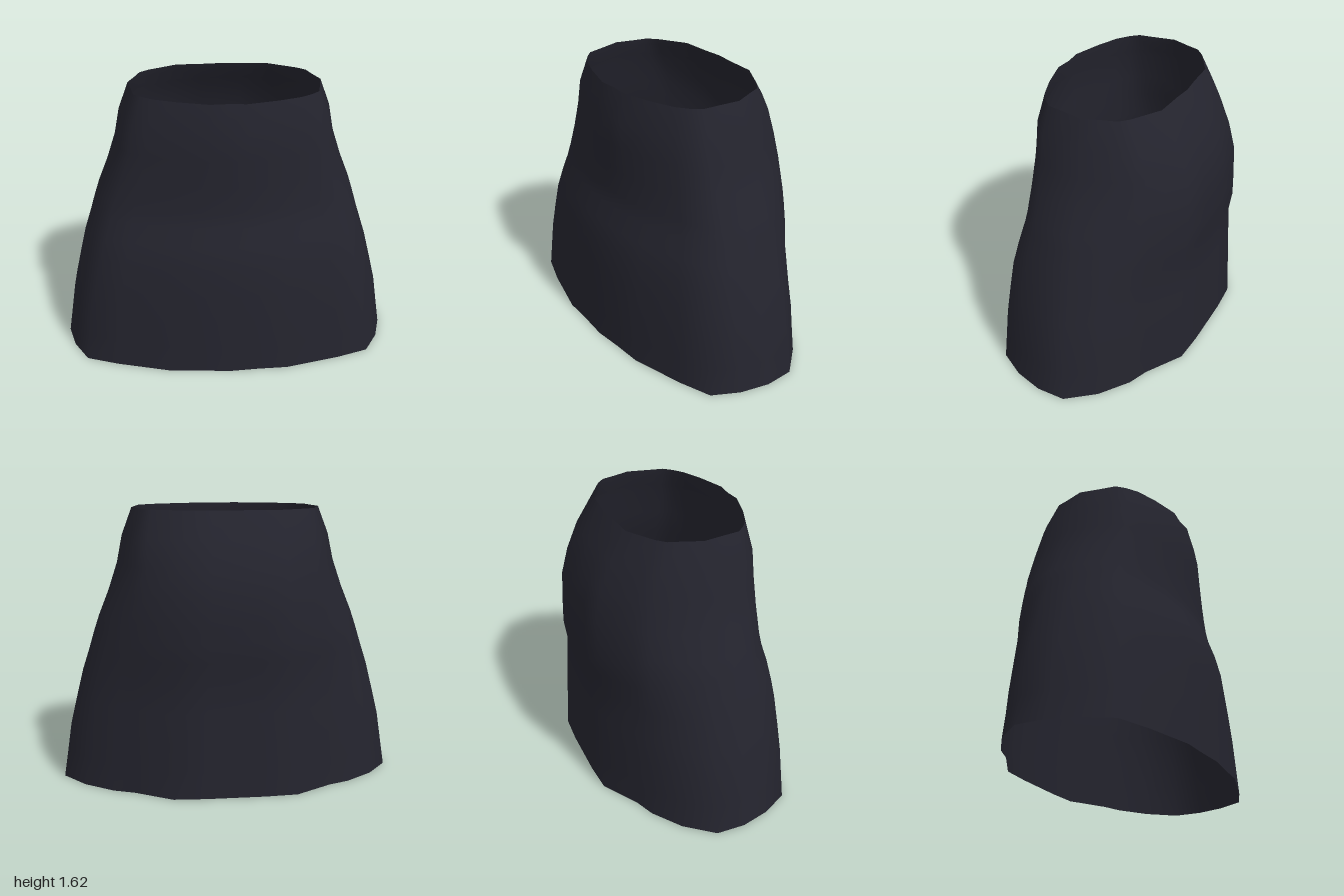
import * as THREE from 'three';

// Half outlines from centre front, round the left side, to centre back (x, z as fractions)
const HEM = [[0, 1], [.17, .975], [.35, .96], [.67, .81], [.86, .69], [.95, .42], [1, .12], [1, -.18],
  [.87, -.46], [.7, -.67], [.58, -.75], [.36, -.98], [.17, -1], [0, -1]];
const WAIST = [[0, .98], [.18, 1], [.5, .87], [.73, .74], [.85, .62], [.93, .5], [.96, .25], [1, -.05],
  [.93, -.35], [.89, -.55], [.8, -.68], [.5, -.95], [.2, -.97], [0, -1]];

// Height, half width, front depth, back depth
const LEVELS = [
  [.008, 1, .573, .573], [.17, .975, .565, .566], [.34, .95, .557, .56], [.5, .912, .547, .553],
  [.67, .87, .534, .546], [.8, .828, .505, .569], [.91, .795, .468, .57], [1, .765, .452, .57],
  [1.15, .705, .449, .569], [1.31, .652, .447, .532], [1.47, .62, .444, .464], [1.63, .56, .405, .368],
];

// Full ring at one level, blending from the hem outline to the waist outline
function ring([y, w, front, back], inset = 0) {
  const t = Math.pow(y / 1.63, 1.5);
  const half = HEM.map(([hx, hz], i) => {
    const x = THREE.MathUtils.lerp(hx, WAIST[i][0], t);
    const z = THREE.MathUtils.lerp(hz, WAIST[i][1], t);
    return [x * (w - inset), y, z * ((z > 0 ? front : back) - inset)];
  });
  const mirrored = half.slice(1, -1).reverse().map(([x, py, z]) => [-x, py, z]);
  return [...half, ...mirrored];
}

// Smooth open tube through a stack of rings
function loft(rings) {
  const n = rings[0].length;
  const index = [];
  for (let r = 0; r < rings.length - 1; r++) {
    for (let i = 0; i < n; i++) {
      const a = r * n + i, b = r * n + (i + 1) % n;
      index.push(a, b, b + n, a, b + n, a + n);
    }
  }
  const geometry = new THREE.BufferGeometry();
  geometry.setAttribute('position', new THREE.Float32BufferAttribute(rings.flat(2), 3));
  geometry.setIndex(index);
  geometry.computeVertexNormals();
  return geometry;
}

export function createModel() {
  const group = new THREE.Group();
  group.name = 'skirt';
  const fabric = new THREE.MeshStandardMaterial({ color: 0x24242e, side: THREE.DoubleSide });
  fabric.name = 'dark fabric';

  // Outer shell, open at the waist and hem
  const shell = new THREE.Mesh(loft(LEVELS.map((level) => ring(level))), fabric);
  shell.name = 'skirtShell';

  // Fabric folded inside the waist
  const facing = new THREE.Mesh(loft([
    ring([1.52, .602, .432, .435], .012),
    ring([1.59, .575, .416, .392], .008),
    ring([1.63, .56, .405, .368]),
  ]), fabric);
  facing.name = 'waistFacing';

  group.add(shell, facing);
  return group;
}
